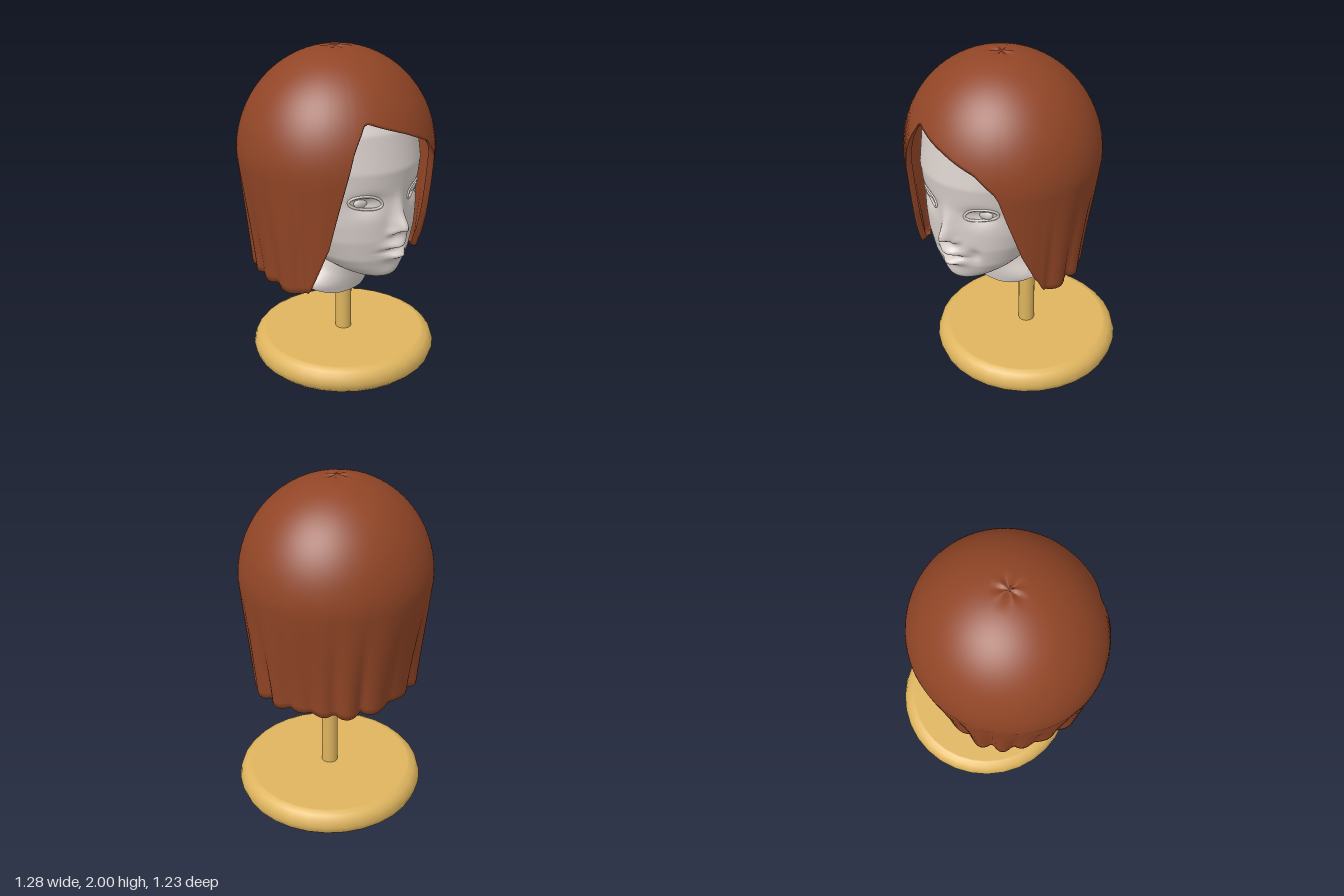
import * as THREE from 'three';
import { mergeVertices } from 'three/addons/utils/BufferGeometryUtils.js';

const CX = -0.06; // the head and hair sit off the stand's axis
const mat = (color, side = THREE.FrontSide) => new THREE.MeshStandardMaterial({ color, side });
const skin = mat(0xd6cdc8, THREE.DoubleSide);
const hairMat = mat(0x914526, THREE.DoubleSide);
const wood = mat(0xdeb45e);

function add(group, name, geometry, material, x = 0, y = 0, z = 0) {
  const mesh = new THREE.Mesh(geometry, material);
  mesh.name = name;
  mesh.position.set(x, y, z);
  group.add(mesh);
  return mesh;
}

// Closed loft: point(t, u) with t from top to bottom and u once around, from +z toward +x
function loft(rows, cols, point) {
  const pos = [], index = [];
  for (let i = 0; i <= rows; i++)
    for (let j = 0; j < cols; j++) pos.push(...point(i / rows, j / cols));
  for (let i = 0; i < rows; i++)
    for (let j = 0; j < cols; j++) {
      const k = (j + 1) % cols, a = i * cols + j, b = i * cols + k;
      index.push(a, a + cols, b, b, a + cols, b + cols);
    }
  let g = new THREE.BufferGeometry();
  g.setAttribute('position', new THREE.Float32BufferAttribute(pos, 3));
  g.setIndex(index);
  g = mergeVertices(g, 1e-5);
  g.computeVertexNormals();
  return g;
}

// Linear lookup in rows of [key, value, value...]
function lookup(table, key) {
  let i = 1;
  while (i < table.length - 1 && key > table[i][0]) i++;
  const a = table[i - 1], b = table[i];
  const f = THREE.MathUtils.clamp((key - a[0]) / (b[0] - a[0]), 0, 1);
  return a.slice(1).map((v, n) => v + (b[n + 1] - v) * f);
}

// Head sections: height, half width, front z, back z
const HEAD = [
  [0.75, 0.0, 0.3, 0.3], [0.755, 0.12, 0.475, 0.1], [0.78, 0.17, 0.49, 0.02], [0.82, 0.225, 0.5, -0.05],
  [0.88, 0.28, 0.515, -0.13], [1.0, 0.34, 0.53, -0.25], [1.1, 0.37, 0.53, -0.32], [1.25, 0.385, 0.535, -0.38],
  [1.4, 0.4, 0.55, -0.4], [1.6, 0.4, 0.51, -0.4], [1.75, 0.34, 0.41, -0.33], [1.87, 0.2, 0.25, -0.2], [1.92, 0, 0.03, 0.03],
];

// Facial relief: x offset, height, x spread, spread above, spread below, depth
const RELIEF = [
  [0, 1.07, 0.04, 0.07, 0.022, 0.085], [0, 1.17, 0.035, 0.07, 0.07, 0.025],
  [0.045, 1.045, 0.022, 0.02, 0.015, 0.025], [-0.045, 1.045, 0.022, 0.02, 0.015, 0.025],
  [0.18, 1.225, 0.075, 0.045, 0.06, -0.04], [-0.18, 1.225, 0.075, 0.045, 0.06, -0.04],
  [0, 0.965, 0.07, 0.025, 0.018, 0.05], [0.01, 0.9, 0.06, 0.02, 0.025, 0.055],
  [0, 0.933, 0.09, 0.008, 0.008, -0.02], [0.14, 0.96, 0.03, 0.04, 0.05, -0.025], [0, 0.79, 0.08, 0.04, 0.04, 0.01],
];
function relief(x, y) {
  let z = 0;
  for (const [px, py, sx, up, down, d] of RELIEF)
    z += d * Math.exp(-(((x - px) / sx) ** 2) - ((y - py) / (y > py ? up : down)) ** 2);
  return z;
}
function headPoint(angle, y) {
  const [w, front, back] = lookup(HEAD, y);
  const x = w * Math.sin(angle), c = Math.cos(angle), mid = (front + back) / 2;
  const reach = c > 0 ? Math.pow(c, 0.85) : c;
  const blend = THREE.MathUtils.smoothstep(c, 0.1, 0.6);
  return [x + CX, y, mid + reach * (front - back) / 2 + blend * relief(x, y)];
}
function facePoint(x, y, lift) {
  const p = headPoint(Math.asin(x / lookup(HEAD, y)[0]), y);
  return new THREE.Vector3(p[0], p[1], p[2] + lift);
}

function buildHead(group) {
  add(group, 'head', loft(96, 96, (t, u) => {
    const a = u * Math.PI * 2;
    return headPoint(a - 0.4 * Math.sin(a), 1.92 - 1.17 * t);
  }), skin);

  // Eyes, almond lids and ears, mirrored
  for (const s of [-1, 1]) {
    const side = s > 0 ? 'left' : 'right';
    const c = facePoint(s * 0.18, 1.232, -0.012);
    const eye = add(group, side + 'Eye', new THREE.SphereGeometry(0.04, 20, 14), skin, c.x, c.y, c.z);
    eye.scale.set(1.4, 0.85, 0.6);
    const lid = [];
    for (let i = 0; i < 16; i++) {
      const a = i / 16 * Math.PI * 2, h = Math.sin(a) > 0 ? 0.045 : 0.035;
      lid.push(facePoint(s * (0.18 + 0.082 * Math.cos(a)), 1.23 + h * Math.sin(a) + 0.012 * Math.cos(a), 0.002));
    }
    add(group, side + 'Eyelid', new THREE.TubeGeometry(new THREE.CatmullRomCurve3(lid, true), 40, 0.008, 6, true), skin);
    const ear = add(group, side + 'Ear', new THREE.SphereGeometry(1, 14, 10), skin, CX + s * 0.375, 1.12, 0.08);
    ear.scale.set(0.03, 0.1, 0.06);
    ear.rotation.y = s * 0.35;
  }

  // Open neck, flared at the bottom and arched up at the sides
  const NECK = [[0.54, 0.222, 0.16, -0.17], [0.6, 0.252, 0.17, -0.13], [0.7, 0.165, 0.18, -0.1], [0.76, 0.135, 0.2, -0.07], [0.9, 0.13, 0.2, -0.05]];
  add(group, 'neck', loft(12, 32, (t, u) => {
    const a = u * Math.PI * 2, low = 0.54 + 0.06 * Math.sin(a) ** 4;
    const y = 0.9 + (low - 0.9) * t;
    const [w, front, back] = lookup(NECK, y);
    return [CX + w * Math.sin(a), y, (front + back) / 2 + Math.cos(a) * (front - back) / 2];
  }), skin);
}

// Lower edge of the hair: angle in degrees from the front, height
const EDGE = [
  [-180, 0.7], [-58, 0.7], [-45, 1.0], [-37.5, 1.3], [-31, 1.55], [-24, 1.68], [1, 1.6],
  [21, 1.52], [33, 1.41], [38, 1.25], [47, 1.0], [62, 0.71], [180, 0.7],
];

function buildHair(group) {
  const rows = 44, lip = 2;
  add(group, 'hair', loft(rows + lip, 160, (t, u) => {
    const deg = u * 360 > 180 ? u * 360 - 360 : u * 360, a = u * Math.PI * 2;
    // uneven vertical locks
    const fold = Math.abs(Math.sin(a * 9 + 0.8 * Math.sin(a * 3))) * (0.65 + 0.35 * Math.sin(a * 5 + 1));
    let edge = lookup(EDGE, deg)[0];
    if (edge < 0.8) edge += 0.022 * (1 - fold) ** 2;
    const end = edge > 1.4 ? Math.acos((edge - 1.4) / 0.6) / (Math.PI / 2) : 1 + (1.4 - edge) / 0.9;
    const step = t * (rows + lip), turned = Math.max(0, step - rows) / lip;
    const s = Math.min(1, step / rows) * end;
    // dome above, slightly tapering curtain below
    let y, r;
    if (s < 1) {
      y = 1.4 + 0.6 * Math.cos(s * Math.PI / 2);
      r = 0.58 * Math.sin(s * Math.PI / 2);
    } else {
      y = 1.4 - (s - 1) * 0.9;
      r = 0.58 - 0.055 * (1.4 - y) / 0.7;
    }
    const drop = THREE.MathUtils.smoothstep(1.5 - y, 0, 0.8);
    r -= 0.045 * drop * (1 - fold) * (Math.abs(deg) > 65 ? 1 : 0.3);
    r -= 0.012 * Math.max(0, -Math.cos(a)) * drop;
    // pinched parting at the crown
    if (r < 0.1) y -= 0.018 * (1 - r / 0.1) * (0.5 + 0.5 * Math.cos(a * 5));
    // edge turned inward
    r -= 0.035 * turned;
    y += 0.03 * turned;
    return [CX + r * Math.sin(a), y, 0.035 + r * 0.965 * Math.cos(a)];
  }), hairMat);
}

function buildStand(group) {
  const profile = [
    [0, 0], [0.49, 0], [0.5, 0], [0.535, 0.012], [0.562, 0.04], [0.575, 0.083],
    [0.562, 0.125], [0.54, 0.15], [0.51, 0.165], [0.5, 0.165], [0, 0.165],
  ].map(([x, y]) => new THREE.Vector2(x, y));
  add(group, 'standBase', new THREE.LatheGeometry(profile, 32), wood, 0.065, 0, -0.04);
  add(group, 'standPole', new THREE.CylinderGeometry(0.05, 0.05, 0.69, 20), wood, 0.065, 0.505, -0.04);
}

export function createModel() {
  const group = new THREE.Group();
  group.name = 'wigOnStand';
  buildStand(group);
  buildHead(group);
  buildHair(group);
  return group;
}
